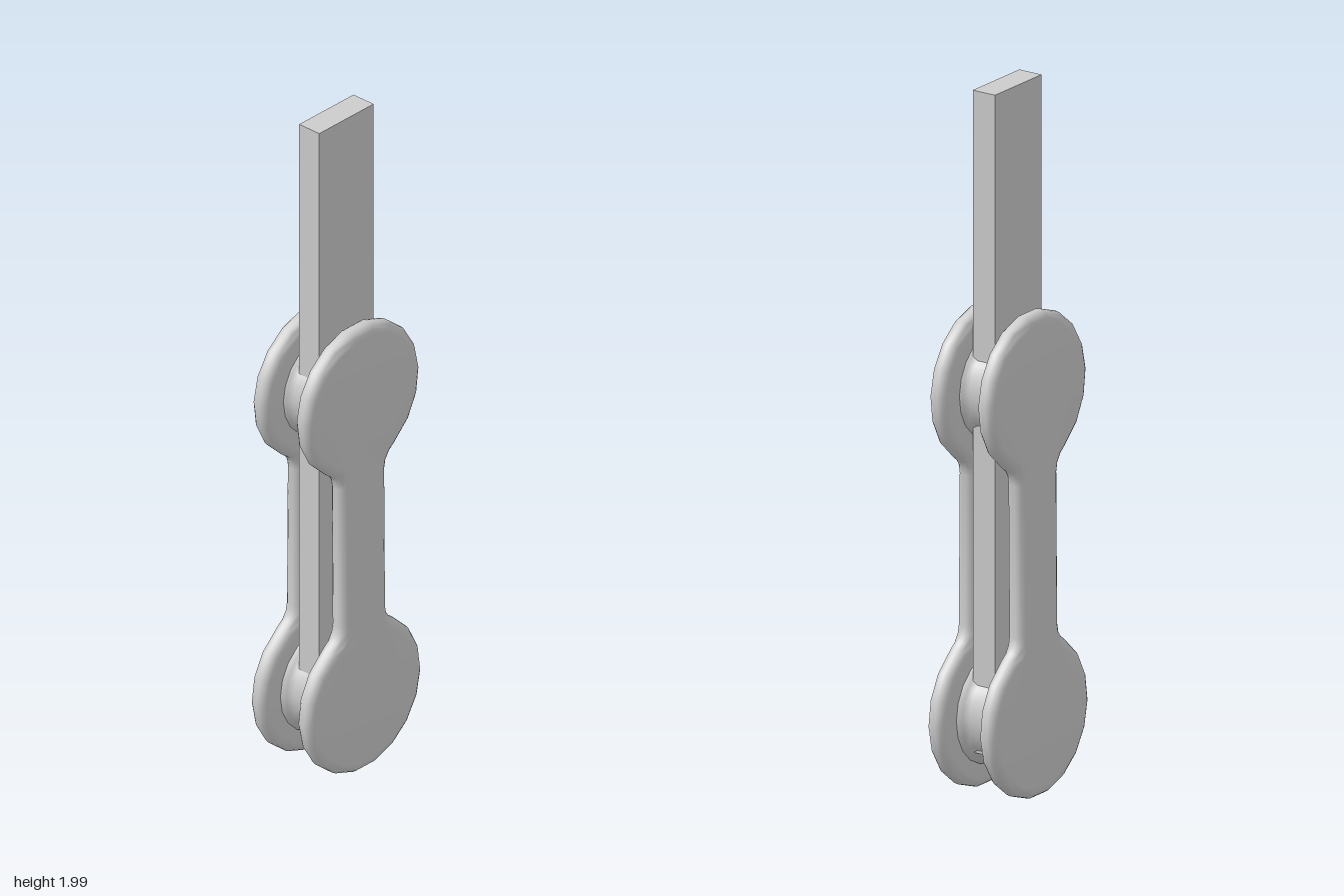
import * as THREE from 'three';
import { toCreasedNormals } from 'three/addons/utils/BufferGeometryUtils.js';

const TOP = 1.147, BOTTOM = 0.23, MID = (TOP + BOTTOM) / 2;
const RADIUS = 0.225, NECK = 0.088;

// Dumbbell outline, centred on the origin: two discs joined by a neck with small fillets
function linkShape() {
  const half = (TOP - BOTTOM) / 2, start = 0.98, steps = 15;
  const points = [];
  for (const s of [-1, 1]) {
    // s = -1 is the lower disc, s = 1 the upper one (the same half turned by 180 degrees)
    const add = (x, y) => points.push(new THREE.Vector2(-s * x, -s * (y - half)));
    const fillet = new THREE.QuadraticBezierCurve(
      new THREE.Vector2(NECK, 0.245),
      new THREE.Vector2(NECK, 0.21),
      new THREE.Vector2(RADIUS * Math.cos(start), RADIUS * Math.sin(start)));
    const curve = fillet.getPoints(3);
    curve.forEach(p => add(p.x, p.y));
    for (let i = 1; i < steps; i++) {
      const a = start - (Math.PI + 2 * start) * i / steps;
      add(RADIUS * Math.cos(a), RADIUS * Math.sin(a));
    }
    curve.reverse().forEach(p => add(-p.x, p.y));
  }
  return new THREE.Shape(points.reverse());
}

export function createModel() {
  const group = new THREE.Group();
  const material = new THREE.MeshStandardMaterial({ color: 0xcccccc });
  const add = (name, geometry, x, y, z) => {
    const mesh = new THREE.Mesh(geometry, material);
    mesh.name = name;
    mesh.position.set(x, y, z);
    group.add(mesh);
    return mesh;
  };

  // Front and back link plates with rounded rims, spreading slightly toward the bottom
  const extruded = new THREE.ExtrudeGeometry(linkShape(), {
    depth: 0.008, bevelThickness: 0.024, bevelSize: 0.027, bevelOffset: -0.027, bevelSegments: 4,
  });
  extruded.translate(0, 0, -0.004);
  const plate = toCreasedNormals(extruded, 0.9);
  for (const s of [1, -1]) {
    const link = add(s > 0 ? 'frontLink' : 'backLink', plate, 0, MID, s * 0.082);
    link.rotation.x = -s * 0.007;
  }

  // Waisted pins joining the plates
  const profile = [[0.16, -0.08], [0.157, -0.055], [0.146, -0.045], [0.138, -0.028],
    [0.138, 0.028], [0.146, 0.045], [0.157, 0.055], [0.16, 0.08]]
    .map(([r, z]) => new THREE.Vector2(r, z));
  const pin = new THREE.LatheGeometry(profile, 20).rotateX(Math.PI / 2);
  add('upperPin', pin, 0, TOP, 0);
  add('lowerPin', pin, 0, BOTTOM, 0);

  // Flat bar running up between the plates
  const barBottom = 0.13;
  add('bar', new THREE.BoxGeometry(0.214, 2 - barBottom, 0.073), -0.006, (2 + barBottom) / 2, 0.007);

  return group;
}
